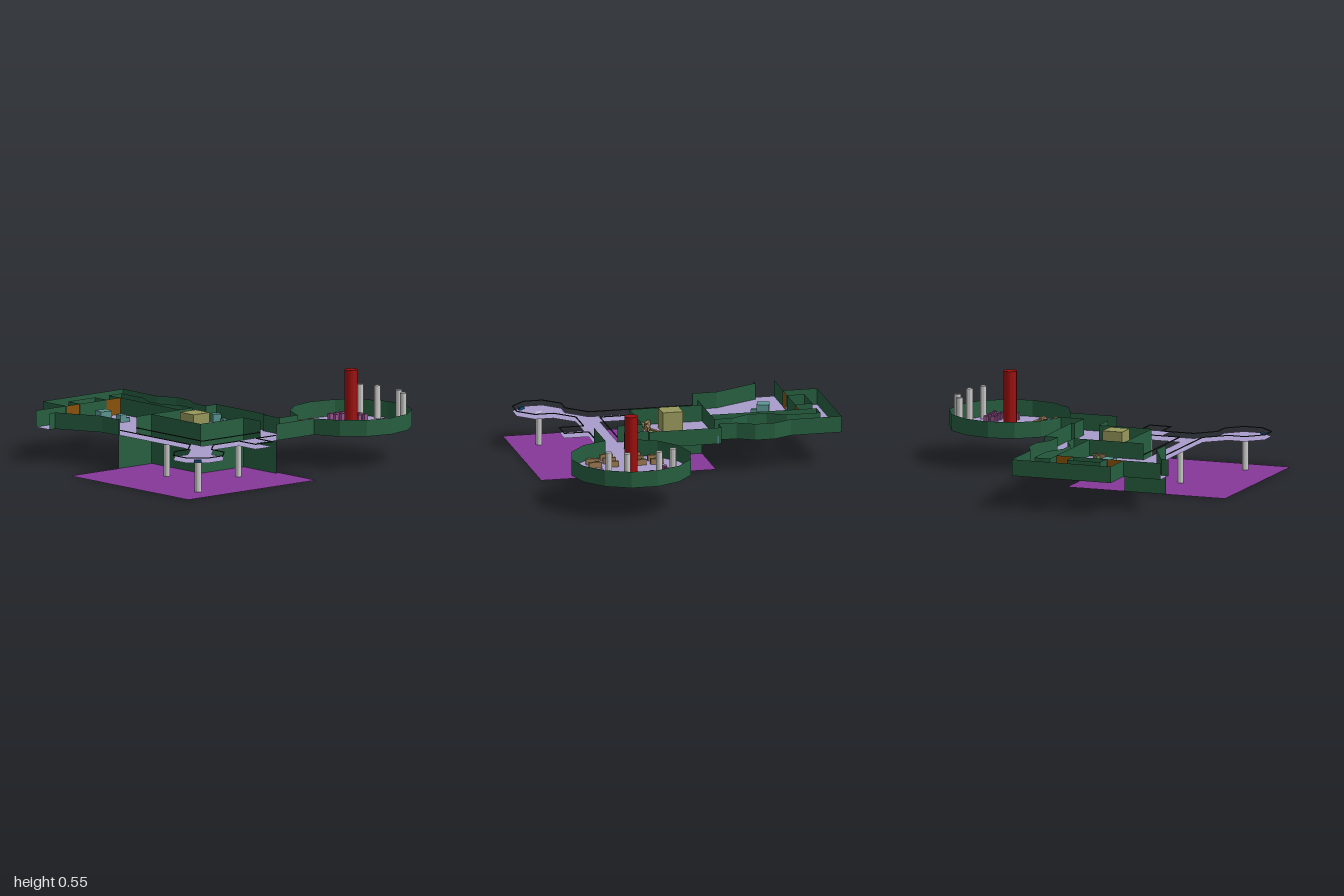
import * as THREE from 'three';

const FLOOR = 0.2, WALL_TOP = 0.3;
const COLORS = {
  floor: 0xa79dcb, ground: 0x853899, wall: 0x265f40, rail: 0x1b2a22, door: 0x8a5208,
  red: 0x9e0c0c, blue: 0x0f4f80, seat: 0x9a5590, desk: 0x9b7a52, chair: 0x6f8f5c,
  crate: 0x97985c, teal: 0x5c9793, grey: 0xcccccc,
};
const mats = {};
for (const key in COLORS) {
  mats[key] = new THREE.MeshStandardMaterial({
    color: COLORS[key], flatShading: true, side: THREE.DoubleSide,
  });
}

export function createModel() {
  const model = new THREE.Group();
  const add = (parent, name, geometry, mat) => {
    const mesh = new THREE.Mesh(geometry, mats[mat]);
    mesh.name = name;
    parent.add(mesh);
    return mesh;
  };
  const group = (name) => {
    const g = new THREE.Group();
    g.name = name;
    model.add(g);
    return g;
  };

  // Upright sheet following a plan path of [x, z] points
  const wall = (parent, name, path, y0, y1, mat = 'wall') => {
    const pos = [];
    for (let i = 0; i + 1 < path.length; i++) {
      const [ax, az] = path[i], [bx, bz] = path[i + 1];
      pos.push(ax, y0, az, bx, y0, bz, bx, y1, bz, ax, y0, az, bx, y1, bz, ax, y1, az);
    }
    const geo = new THREE.BufferGeometry();
    geo.setAttribute('position', new THREE.Float32BufferAttribute(pos, 3));
    geo.computeVertexNormals();
    return add(parent, name, geo, mat);
  };
  // Box or cylinder standing on a base height
  const block = (parent, name, mat, x, z, w, d, h, turn = 0, y = FLOOR) => {
    const m = add(parent, name, new THREE.BoxGeometry(w, h, d), mat);
    m.position.set(x, y + h / 2, z);
    m.rotation.y = turn;
    return m;
  };
  const column = (parent, name, mat, x, z, r, h, y, sides = 12) => {
    const m = add(parent, name, new THREE.CylinderGeometry(r, r, h, sides), mat);
    m.position.set(x, y + h / 2, z);
  };

  // Plan outlines
  const ring = [];
  for (let i = 0; i < 14; i++) {
    const a = (i + 0.5) * Math.PI / 7;
    ring.push([0.51 + 0.366 * Math.sin(a), -0.643 + 0.357 / Math.cos(Math.PI / 14) * Math.cos(a)]);
  }
  const northWest = [
    [0.585, 0.015], [0.585, -0.286], ...ring, [0.435, -0.286], [0.435, -0.14], [0.285, -0.14],
    [0.285, -0.16], [-0.16, -0.16], [-0.16, -0.075], [-0.27, -0.075], [-0.375, -0.13],
    [-0.495, -0.13], [-0.605, -0.075], [-0.915, -0.075], [-0.915, 0.56], [-0.705, 0.56], [-0.705, 0.8],
  ];
  const southWest = [[-0.58, 0.8], [-0.58, 0.755], [-0.31, 0.62], [-0.16, 0.62], [-0.16, 0.605]];
  const outerBridge = [
    [-0.16, 0.605], [0.48, 0.605], [0.597, 0.725], [0.597, 0.83], [0.69, 0.922], [0.805, 0.922],
    [0.895, 0.83], [0.895, 0.71], [0.805, 0.62], [0.69, 0.62], [0.58, 0.51], [0.58, 0.305],
    [0.73, 0.305], [0.73, 0.17], [0.58, 0.17], [0.58, 0.015],
  ];
  const innerBridge = [[0.44, 0.015], [0.44, 0.475], [-0.16, 0.475]];
  const hallWall = [[-0.16, 0.355], [0.285, 0.355], [0.285, 0.015], [0.44, 0.015]];
  const gapNorth = [
    [-0.81, 0.03], [-0.605, 0.03], [-0.495, 0.09], [-0.375, 0.09], [-0.27, 0.03],
    [-0.16, 0.03], [-0.16, 0.13], [-0.705, 0.13], [-0.81, 0.13], [-0.81, 0.03],
  ];
  const gapWest = [[-0.705, 0.24], [-0.81, 0.24], [-0.81, 0.45], [-0.705, 0.45], [-0.705, 0.24]];

  // Floor with its openings
  const toPlan = (path) => path.map(([x, z]) => new THREE.Vector2(x, -z));
  const plan = new THREE.Shape(toPlan([...northWest, ...southWest, ...outerBridge.slice(1, -1)]));
  for (const hole of [[...hallWall, ...innerBridge.slice(1)], gapNorth.slice(0, -1), gapWest.slice(0, -1)]) {
    plan.holes.push(new THREE.Path(toPlan(hole)));
  }
  const floor = add(model, 'floor', new THREE.ShapeGeometry(plan).rotateX(-Math.PI / 2), 'floor');
  floor.position.y = FLOOR;
  const ground = add(model, 'lowerGround', new THREE.PlaneGeometry(1.075, 1.015).rotateX(-Math.PI / 2), 'ground');
  ground.position.set(0.3775, 0, 0.4925);

  // Room walls, and the foundation walls down to the lower ground
  const walls = group('walls');
  wall(walls, 'outerWall', northWest, FLOOR, WALL_TOP);
  wall(walls, 'entranceWall', southWest, FLOOR, WALL_TOP);
  wall(walls, 'corridorWall', gapNorth, FLOOR, WALL_TOP);
  wall(walls, 'courtWall', gapWest, FLOOR, WALL_TOP);
  wall(walls, 'hallWall', hallWall, FLOOR, WALL_TOP);
  wall(walls, 'roomDivider', [[-0.16, 0.13], [-0.16, 0.475]], FLOOR, WALL_TOP);
  wall(walls, 'foundationWall',
    [[-0.16, 0.62], [-0.16, 0.355], [0.285, 0.355], [0.285, 0.015], [0.585, 0.015]], 0, FLOOR);
  for (const [a, b] of [[0.13, 0.24], [0.455, 0.56]]) {
    wall(walls, 'door', [[-0.703, a], [-0.703, b]], FLOOR, WALL_TOP, 'door');
  }

  // Thin rails floating along the bridge
  const rails = group('bridgeRails');
  for (const path of [outerBridge, innerBridge]) {
    for (let i = 0; i + 1 < path.length; i++) {
      const [ax, az] = path[i], [bx, bz] = path[i + 1];
      block(rails, 'rail', 'rail', (ax + bx) / 2, (az + bz) / 2, Math.hypot(bx - ax, bz - az),
        0.006, 0.005, -Math.atan2(bz - az, bx - ax), 0.228);
    }
  }

  // Columns
  const columns = group('columns');
  for (const [x, z] of [[0.22, 0.565], [0.51, 0.25], [0.745, 0.775]]) {
    column(columns, 'bridgeSupport', 'grey', x, z, 0.02, FLOOR, 0);
  }
  for (const side of [-1, 1]) {
    column(columns, 'roomColumn', 'grey', 0.507 + side * 0.197, -0.89, 0.02, 0.2, FLOOR);
    column(columns, 'roomColumn', 'grey', 0.504 + side * 0.098, -0.94, 0.02, 0.2, FLOOR);
  }
  column(columns, 'centralColumn', 'red', 0.51, -0.643, 0.04, 0.345, FLOOR, 16);

  // Round room seats: two full rows, two short rows per side
  const seats = group('seats');
  for (const side of [-1, 1]) {
    for (let row = 0; row < 4; row++) {
      for (let i = 0; i < (row < 2 ? 4 : 2); i++) {
        block(seats, 'seat', 'seat', 0.51 + side * (0.245 - i * 0.05), -0.835 + row * 0.048, 0.025, 0.025, 0.04);
      }
    }
  }

  // Desks [x, z, turn] and chairs [x, z]
  const furniture = group('furniture');
  const desks = [
    [-0.24, 0.225, 1.57], [0.187, 0.105, -1.1], [0.21, 0.2, 1.57], [0.193, 0.29, 1.1],
    [0.425, -0.35, 0], [0.595, -0.35, 0],
  ];
  for (const x of [0.32, 0.425, 0.595, 0.7]) desks.push([x, -0.51, 0], [x, -0.43, 0]);
  for (const [x, z, turn] of desks) block(furniture, 'desk', 'desk', x, z, 0.078, 0.02, 0.035, turn);
  const chairs = [
    [-0.275, 0.225], [0.215, 0.1], [0.245, 0.21], [0.22, 0.31], [0.315, -0.48], [0.42, -0.475],
    [0.615, -0.485], [0.675, -0.48], [0.33, -0.4], [0.42, -0.395], [0.67, -0.4], [0.71, -0.4],
    [0.41, -0.325], [0.575, -0.325],
  ];
  chairs.forEach(([x, z], i) => block(furniture, 'chair', 'chair', x, z, 0.024, 0.024, 0.03, (i % 5 - 2) * 0.25));

  // Crates and consoles
  const props = group('props');
  block(props, 'largeCrate', 'crate', 0.067, 0.212, 0.125, 0.125, 0.125);
  for (const [x, z, s, turn] of [
    [-0.505, 0.297, 0.046, -0.1], [-0.545, 0.4, 0.075, -0.25], [-0.49, 0.26, 0.025, -0.4],
    [-0.497, 0.43, 0.035, -0.4], [-0.13, -0.13, 0.05, -0.45], [-0.077, -0.143, 0.026, 0.1],
  ]) block(props, 'smallCrate', 'teal', x, z, s, s, s, turn);
  block(props, 'console', 'blue', 0.51, -0.88, 0.045, 0.016, 0.015);
  block(props, 'console', 'blue', 0.835, 0.855, 0.045, 0.016, 0.015, 0.7);

  return model;
}
